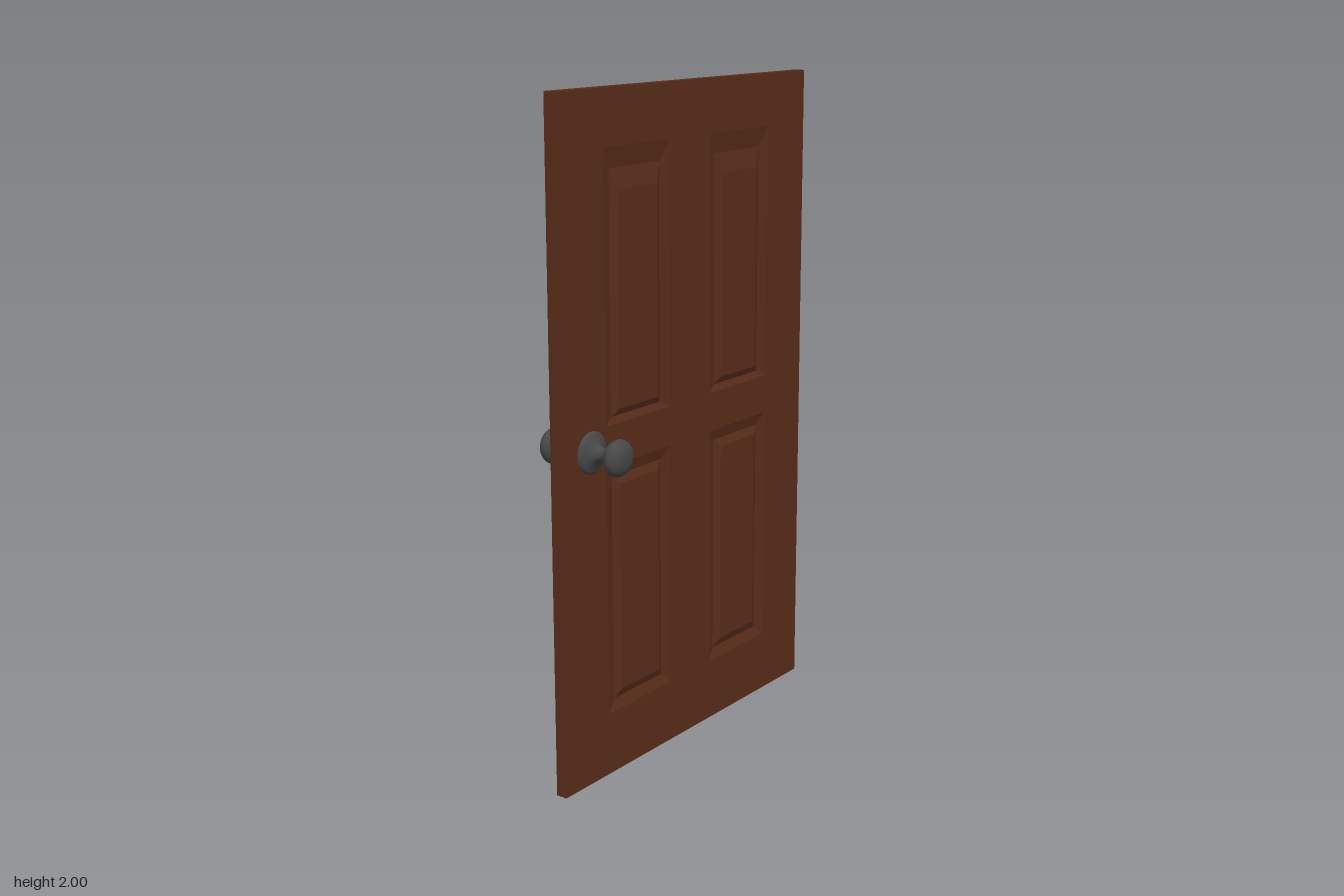
import * as THREE from 'three';

const HALF = 0.0175;   // half thickness of the door
const GROOVE = 0.01;   // depth of the panel mouldings

// Skin through a series of rectangles [x0, y0, x1, y1, z], flat shaded
function loftRects(rects, cap) {
  const p = [];
  const corners = ([x0, y0, x1, y1, z]) => [[x0, y0, z], [x1, y0, z], [x1, y1, z], [x0, y1, z]];
  const quad = (a, b, c, d) => p.push(...a, ...b, ...c, ...a, ...c, ...d);
  for (let i = 0; i < rects.length - 1; i++) {
    const a = corners(rects[i]), b = corners(rects[i + 1]);
    for (let k = 0; k < 4; k++) quad(a[k], a[(k + 1) % 4], b[(k + 1) % 4], b[k]);
  }
  if (cap) quad(...corners(rects[rects.length - 1]));
  const g = new THREE.BufferGeometry();
  g.setAttribute('position', new THREE.Float32BufferAttribute(p, 3));
  g.computeVertexNormals();
  return g;
}

function mesh(name, geometry, material) {
  const m = new THREE.Mesh(geometry, material);
  m.name = name;
  return m;
}

export function createModel() {
  const door = new THREE.Group();
  door.name = 'door';
  const wood = new THREE.MeshStandardMaterial({ color: 0x5a2d1a });
  const metal = new THREE.MeshStandardMaterial({ color: 0x484848 });

  // Four narrow edges around the slab
  door.add(mesh('slabEdges', loftRects([[-0.6, 0, 0.6, 2, -HALF], [-0.6, 0, 0.6, 2, HALF]], false), wood));

  // Panel rows: heights of outer edge, groove and raised field
  const rows = [
    { name: 'upperPanel', bottom: [1.06, 1.08, 1.10], top: [1.84, 1.78, 1.72] },
    { name: 'lowerPanel', bottom: [0.19, 0.225, 0.25], top: [0.94, 0.905, 0.88] },
  ];
  const inner = [0.10, 0.135, 0.16], outer = [0.40, 0.365, 0.34];
  const depth = [HALF, HALF - GROOVE, HALF];

  // Flat face with an opening for each panel
  const faceShape = new THREE.Shape([[-0.6, 0], [0.6, 0], [0.6, 2], [-0.6, 2]].map(([x, y]) => new THREE.Vector2(x, y)));
  const panels = [];
  for (const row of rows) {
    for (const side of [-1, 1]) {
      const rects = depth.map((z, i) => {
        const [x0, x1] = side > 0 ? [inner[i], outer[i]] : [-outer[i], -inner[i]];
        return [x0, row.bottom[i], x1, row.top[i], z];
      });
      const [x0, y0, x1, y1] = rects[0];
      faceShape.holes.push(new THREE.Path([[x0, y0], [x0, y1], [x1, y1], [x1, y0]].map(([x, y]) => new THREE.Vector2(x, y))));
      panels.push({ name: row.name, geometry: loftRects(rects, true) });
    }
  }
  const faceGeometry = new THREE.ShapeGeometry(faceShape);
  faceGeometry.translate(0, 0, HALF);

  // Knob profile: rosette, cone, neck, then a flattened ball
  const base = [[0.061, 0.015], [0.061, 0.023], [0.055, 0.028]].map(([r, z]) => new THREE.Vector2(r, z));
  const curve = new THREE.SplineCurve([
    [0.055, 0.028], [0.042, 0.034], [0.027, 0.043], [0.021, 0.055], [0.02, 0.067], [0.026, 0.082],
    [0.043, 0.094], [0.0535, 0.113], [0.046, 0.131], [0.027, 0.142], [0, 0.145],
  ].map(([r, z]) => new THREE.Vector2(r, z)));
  const tip = curve.getPoints(40).map((v) => new THREE.Vector2(Math.max(v.x, 0), v.y));
  const rosette = new THREE.LatheGeometry(base, 40);
  const knob = new THREE.LatheGeometry(tip, 40);
  for (const g of [rosette, knob]) g.rotateX(Math.PI / 2);

  // Front and back carry the same face, panels and knob
  for (const side of [1, -1]) {
    const half = new THREE.Group();
    half.name = side > 0 ? 'frontSide' : 'backSide';
    half.add(mesh('face', faceGeometry, wood));
    for (const p of panels) half.add(mesh(p.name, p.geometry, wood));
    const handle = new THREE.Group();
    handle.name = 'doorKnob';
    handle.add(mesh('rosette', rosette, metal), mesh('knob', knob, metal));
    handle.position.set(-0.467 * side, 1, 0);
    half.add(handle);
    if (side < 0) half.rotation.y = Math.PI;
    door.add(half);
  }
  return door;
}
